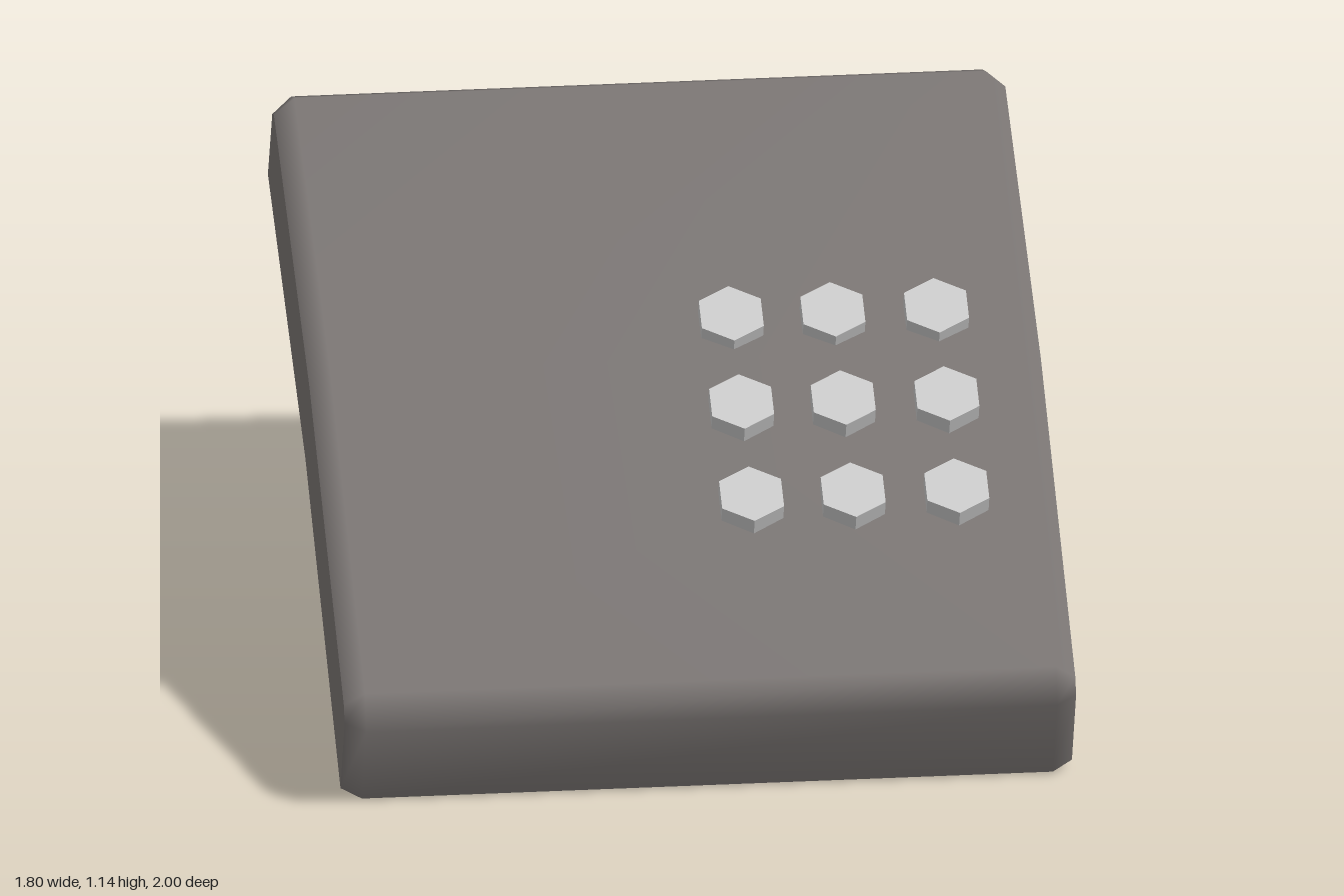
import * as THREE from 'three';

const bodyMaterial = new THREE.MeshStandardMaterial({ color: 0x7a7573 });
const buttonMaterial = new THREE.MeshStandardMaterial({ color: 0xcccccc, flatShading: true });

// Skins a series of [z, y] profiles placed at the given x stations.
function skin(stations, profiles, capped = false) {
  const n = profiles[0].length;
  const positions = [];
  const index = [];
  stations.forEach((x, i) => profiles[i].forEach(([z, y]) => positions.push(x, y, z)));
  for (let i = 0; i < stations.length - 1; i++) {
    for (let k = 0; k < n - 1; k++) {
      const a = i * n + k, b = a + n;
      index.push(a, b, b + 1, a, b + 1, a + 1);
    }
  }
  if (capped) {
    const contour = profiles[0].map(([z, y]) => new THREE.Vector2(z, y));
    const last = (stations.length - 1) * n;
    for (const [a, b, c] of THREE.ShapeUtils.triangulateShape(contour, [])) {
      index.push(a, b, c, last + a, last + c, last + b);
    }
  }
  const geometry = new THREE.BufferGeometry();
  geometry.setAttribute('position', new THREE.Float32BufferAttribute(positions, 3));
  geometry.setIndex(index);
  geometry.computeVertexNormals();
  return geometry;
}

function addMesh(parent, name, geometry, material) {
  const mesh = new THREE.Mesh(geometry, material);
  mesh.name = name;
  parent.add(mesh);
  return mesh;
}

export function createModel() {
  const model = new THREE.Group();
  model.name = 'angledKeypadConsole';

  // Bent slab: full profile, and the smaller profile of its bevelled ends
  const kink = [-0.02, 0.52];
  const full = [[0.89, 0.005], [1.0, 0.23], [0.97, 0.32], [0.1, 0.8],
    [-0.8, 1.145], [-0.89, 1.11], [-1.0, 0.885]];
  const end = [[0.86, 0.022], [0.965, 0.24], [0.945, 0.28], [0.08, 0.755],
    [-0.815, 1.095], [-0.855, 1.08], [-0.965, 0.872]];
  const stations = [-0.9, -0.85, 0.85, 0.9];
  const sections = [end, full, full, end];

  const body = new THREE.Group();
  body.name = 'body';
  model.add(body);
  addMesh(body, 'bodyShell', skin(stations, sections), bodyMaterial);

  // Flat side walls, including the bend at the underside
  const walls = skin([-0.9, 0.9], [[...end, kink], [...end, kink]], true);
  walls.setIndex([...walls.index.array].slice(end.length * 6));
  const wallGeometry = walls.toNonIndexed();
  wallGeometry.computeVertexNormals();
  addMesh(body, 'sideWalls', wallGeometry, bodyMaterial);

  // Underside in two planes
  const under = sections.map((p) => [p[p.length - 1], kink, p[0]]);
  const underGeometry = skin(stations, under).toNonIndexed();
  underGeometry.computeVertexNormals();
  addMesh(body, 'underside', underGeometry, bodyMaterial);

  // Tapered rear stand, its top sunk into the slab
  const standShape = new THREE.Shape([[-0.395, 0], [-0.346, 0.69], [-0.65, 0.8], [-0.595, 0]]
    .map(([z, y]) => new THREE.Vector2(z, y)));
  const standGeometry = new THREE.ExtrudeGeometry(standShape, { depth: 1.47, bevelEnabled: false });
  standGeometry.rotateY(-Math.PI / 2).translate(0.735, 0, 0);
  addMesh(model, 'stand', standGeometry, bodyMaterial);

  // Three by three grid of hexagonal buttons, origin at the top face
  const buttons = new THREE.Group();
  buttons.name = 'buttons';
  model.add(buttons);
  const buttonGeometry = new THREE.CylinderGeometry(0.088, 0.088, 0.1, 6).translate(0, -0.05, 0);
  for (const [z, y] of [[0.52, 0.617], [0.27, 0.755], [0.01, 0.878]]) {
    for (const x of [0.145, 0.395, 0.65]) {
      const button = addMesh(buttons, 'button', buttonGeometry, buttonMaterial);
      button.position.set(x, y, z);
      button.rotation.x = THREE.MathUtils.degToRad(26);
    }
  }
  return model;
}
